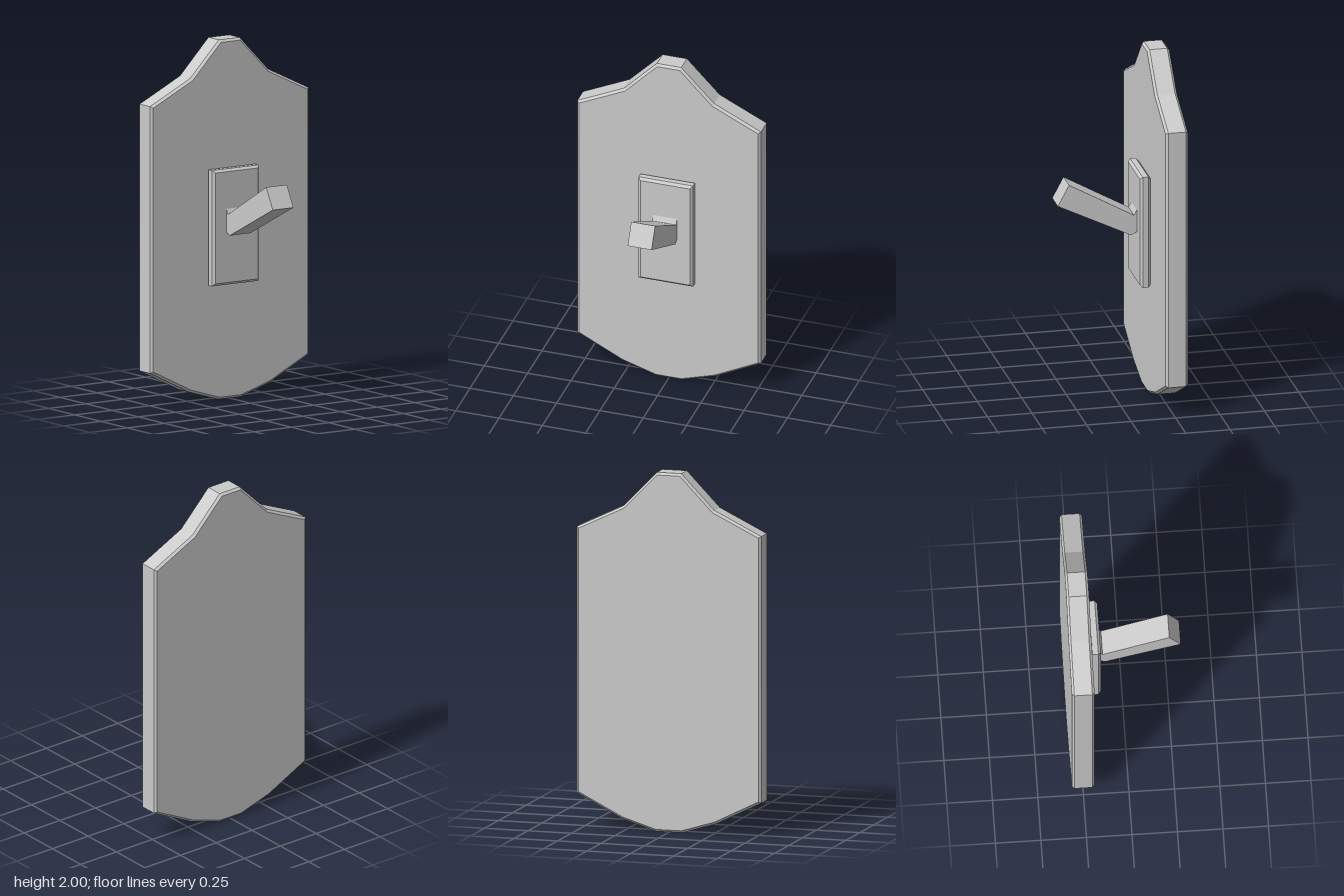
import * as THREE from 'three';

const material = new THREE.MeshStandardMaterial({ color: 0xcccccc, flatShading: true });

// Extrudes an outline from z = 0 to z = depth, with chamfered edges inside the outline
function slab(name, points, depth, bevel) {
  const shape = new THREE.Shape(points.map(([x, y]) => new THREE.Vector2(x, y)));
  const geometry = new THREE.ExtrudeGeometry(shape, {
    depth: depth - 2 * bevel,
    bevelEnabled: bevel > 0,
    bevelThickness: bevel,
    bevelSize: bevel,
    bevelOffset: -bevel,
    bevelSegments: 1,
  });
  geometry.translate(0, 0, bevel);
  const mesh = new THREE.Mesh(geometry, material);
  mesh.name = name;
  return mesh;
}

// Mirrors the +x half of an outline (listed bottom to top) into a closed one
const mirrored = (half) => [...half, ...half.map(([x, y]) => [-x, y]).reverse()];

export function createModel() {
  const model = new THREE.Group();
  model.name = 'wallLever';

  // Back board with a peaked top and a shallow pointed bottom
  const board = slab('backBoard', mirrored([
    [0.075, 0], [0.27, 0.06], [0.53, 0.19],
    [0.53, 1.675], [0.26, 1.805], [0.07, 2],
  ]), 0.125, 0.013);
  board.position.z = -0.315;
  model.add(board);

  // Small mounting plate on the board
  const plate = slab('mountingPlate', mirrored([[0.157, 0.645], [0.157, 1.29]]), 0.06, 0.014);
  plate.position.z = -0.191;
  model.add(plate);

  // Lever: side profile given as [z, y], extruded across x, its root sunk in the plate
  const lever = slab('lever', [
    [0.25, 1.245], [-0.116, 1.04], [-0.131, 1.07], [-0.15, 1.07],
    [-0.15, 0.945], [-0.131, 0.942], [-0.1, 0.925], [0.313, 1.127],
  ], 0.138, 0);
  lever.geometry.translate(0, 0, -0.069).rotateY(-Math.PI / 2);
  model.add(lever);

  return model;
}
